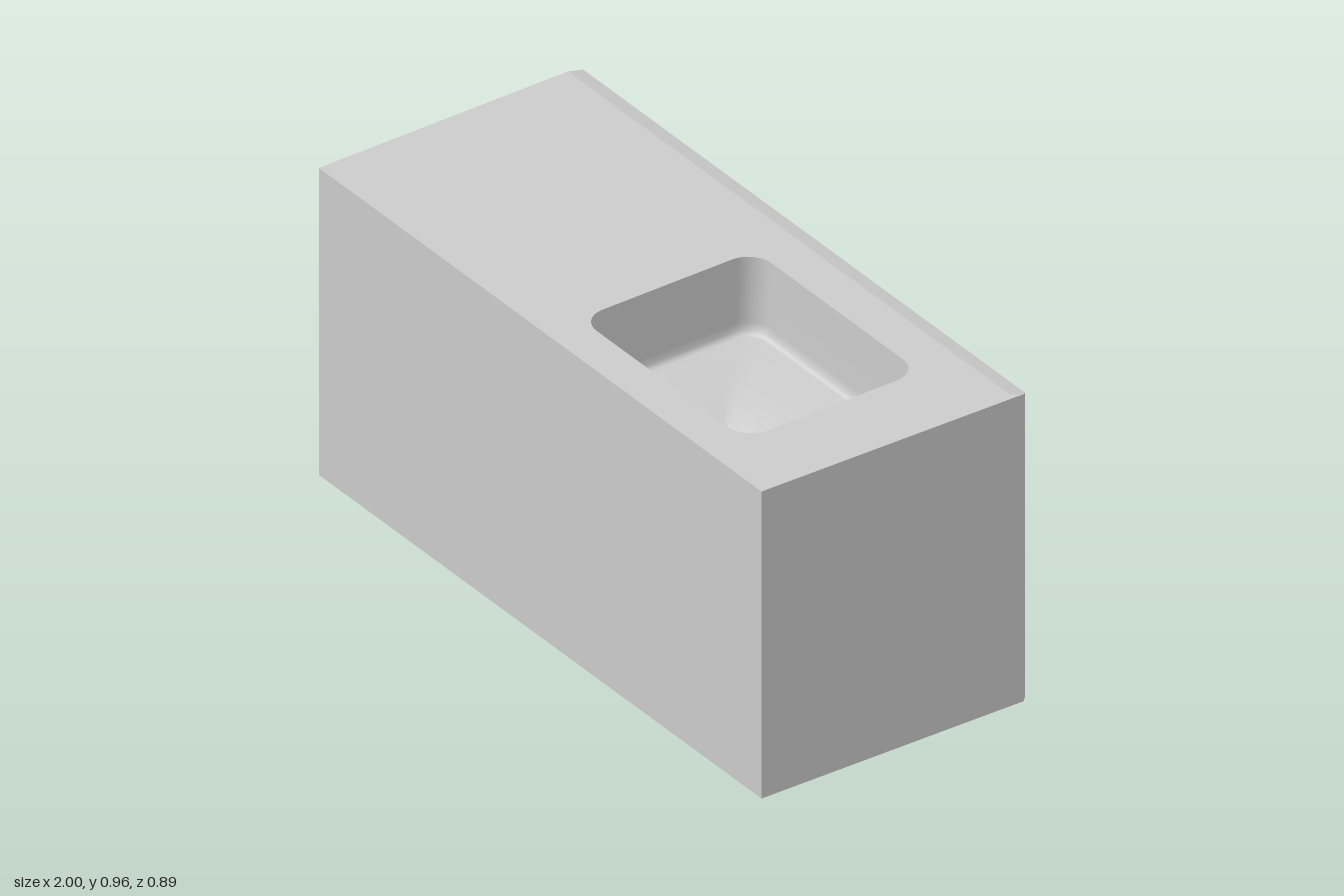
import * as THREE from 'three';

const grey = () => new THREE.MeshStandardMaterial({ color: 0xcccccc });
const HEIGHT = 0.956;
const DRAIN = { x: 0.375, z: 0.14, r: 0.045, depth: 0.295 };

function add(parent, name, geometry, material = grey()) {
  const mesh = new THREE.Mesh(geometry, material);
  mesh.name = name;
  parent.add(mesh);
  return mesh;
}

const shape = (points, Type = THREE.Shape) => new Type(points.map(c => new THREE.Vector2(...c)));

// Flat-sided quads, each given as four corners counter-clockwise from outside
function quads(list) {
  const pos = [];
  for (const [a, b, c, d] of list) pos.push(...a, ...b, ...c, ...a, ...c, ...d);
  const g = new THREE.BufferGeometry();
  g.setAttribute('position', new THREE.Float32BufferAttribute(pos, 3));
  g.computeVertexNormals();
  return g;
}

// Rounded rectangle of the basin, counter-clockwise from above, as [x, z]
function basinOutline(inset) {
  const cx = 0.378, cz = 0.045, hw = 0.37 - inset, hd = 0.285 - inset;
  const r = 0.075 - inset * 0.5, pts = [];
  const corners = [[1, 1], [-1, 1], [-1, -1], [1, -1]];
  corners.forEach(([sx, sy], q) => {
    for (let i = 0; i <= 10; i++) {
      const a = (q + i / 10) * Math.PI / 2;
      pts.push([cx + sx * (hw - r) + r * Math.cos(a), cz - sy * (hd - r) - r * Math.sin(a)]);
    }
    // extra points along the straight side to the next corner
    const [nx, ny] = corners[(q + 1) % 4];
    const e = (q + 1) * Math.PI / 2;
    for (let i = 1; i < 8; i++) {
      const t = i / 8;
      pts.push([
        cx + (sx + (nx - sx) * t) * (hw - r) + r * Math.cos(e),
        cz - (sy + (ny - sy) * t) * (hd - r) - r * Math.sin(e),
      ]);
    }
  });
  return pts;
}

// Basin: vertical walls, then a floor that morphs into the round drain
function basinGeometry() {
  // [inset, blend towards drain, depth]
  const rings = [
    [0, 0, 0], [0.002, 0, 0.1], [0.004, 0, 0.2], [0.007, 0, 0.222], [0.016, 0, 0.231],
    [0.025, 0, 0.233], [0.03, 0.1, 0.235], [0.03, 0.3, 0.24], [0.03, 0.5, 0.248],
    [0.03, 0.7, 0.26], [0.03, 0.85, 0.274], [0.03, 1, DRAIN.depth],
  ];
  const pos = [], index = [];
  rings.forEach(([inset, t, depth], k) => {
    const pts = basinOutline(inset), n = pts.length;
    pts.forEach(([x, z], i) => {
      const dx = x - DRAIN.x, dz = z - DRAIN.z;
      const f = 1 - t + t * DRAIN.r / Math.hypot(dx, dz);
      pos.push(DRAIN.x + dx * f, HEIGHT - depth, DRAIN.z + dz * f);
      if (k > 0) {
        const j = (i + 1) % n, a = (k - 1) * n, b = k * n;
        index.push(a + i, a + j, b + j, a + i, b + j, b + i);
      }
    });
  });
  const g = new THREE.BufferGeometry();
  g.setAttribute('position', new THREE.Float32BufferAttribute(pos, 3));
  g.setIndex(index);
  g.computeVertexNormals();
  return g;
}

export function createModel() {
  const model = new THREE.Group();
  model.name = 'sinkCabinet';
  const thin = grey();
  thin.side = THREE.DoubleSide;

  // Footprint [x, top height, z], counter-clockwise from above
  const foot = [
    [-1, HEIGHT, 0.447], [0.983, HEIGHT, 0.447], [0.999, HEIGHT, -0.365],
    [1, HEIGHT, -0.395], [0.981, 0.944, -0.414], [-1, 0.944, -0.414], [-1, HEIGHT, -0.365],
  ];
  add(model, 'cabinetWalls', quads(foot.map(([x, h, z], i) => {
    const [x2, h2, z2] = foot[(i + 1) % foot.length];
    return [[x, 0, z], [x2, 0, z2], [x2, h2, z2], [x, h, z]];
  })), thin);

  // Bottom panel of the closed half; the drawer half is open below
  const bottom = shape([[-1, 0.447], [0.06, 0.447], [0.06, -0.414], [-1, -0.414]]);
  add(model, 'bottomPanel', new THREE.ShapeGeometry(bottom).rotateX(Math.PI / 2), thin);

  // Worktop with the basin opening
  const top = shape([0, 1, 2, 6].map(i => [foot[i][0], -foot[i][2]]));
  top.holes.push(shape(basinOutline(0).map(([x, z]) => [x, -z]), THREE.Path));
  add(model, 'worktop', new THREE.ShapeGeometry(top).rotateX(-Math.PI / 2).translate(0, HEIGHT, 0), thin);

  // Sloped worktop edge above the drawers, ending at the side panel
  const inner = [0.981, HEIGHT, -0.365];
  add(model, 'worktopEdge', quads([
    [foot[6], inner, foot[4], foot[5]],
    [inner, foot[2], foot[3], foot[4]],
  ]), thin);

  // Sink with drain
  const sink = new THREE.Group();
  sink.name = 'sink';
  model.add(sink);
  add(sink, 'basin', basinGeometry(), thin);
  const cup = [[DRAIN.r, 0], [0.04, -0.008], [0.036, -0.022], [0.02, -0.03], [0, -0.032]];
  add(sink, 'drain', new THREE.LatheGeometry(cup.map(c => new THREE.Vector2(...c)), 32), thin)
    .position.set(DRAIN.x, HEIGHT - DRAIN.depth, DRAIN.z);

  // Arched handle seen from above: [x, distance from the drawer]
  const bow = shape([
    [-0.157, 0], [-0.143, 0.021], [0, 0.025], [0.138, 0.028], [0.147, 0.026], [0.157, 0],
    [0.143, 0], [0.134, 0.016], [0, 0.014], [-0.134, 0.011], [-0.143, 0],
  ]);

  // Drawers: [bottom, top, handle height]
  const x0 = 0.063, x1 = 0.978;
  for (const [y0, y1, yh] of [[0.085, 0.405, 0.327], [0.408, 0.671, 0.552], [0.674, 0.912, 0.802]]) {
    const drawer = new THREE.Group();
    drawer.name = 'drawer';
    model.add(drawer);
    const front = shape([[x0, y0], [x1, y0], [x1, y1], [x0, y1]]);
    const panel = new THREE.ExtrudeGeometry(front, {
      depth: 0.004, bevelThickness: 0.004, bevelSize: 0.005, bevelOffset: -0.005, bevelSegments: 1,
    });
    add(drawer, 'drawerFront', panel.translate(0, 0, -0.414));
    const handle = new THREE.ExtrudeGeometry(bow, { depth: 0.032, bevelEnabled: false });
    handle.translate(0, 0, -0.016).rotateX(-Math.PI / 2);
    add(drawer, 'drawerHandle', handle).position.set(0.523, yh, -0.418);
  }
  return model;
}
